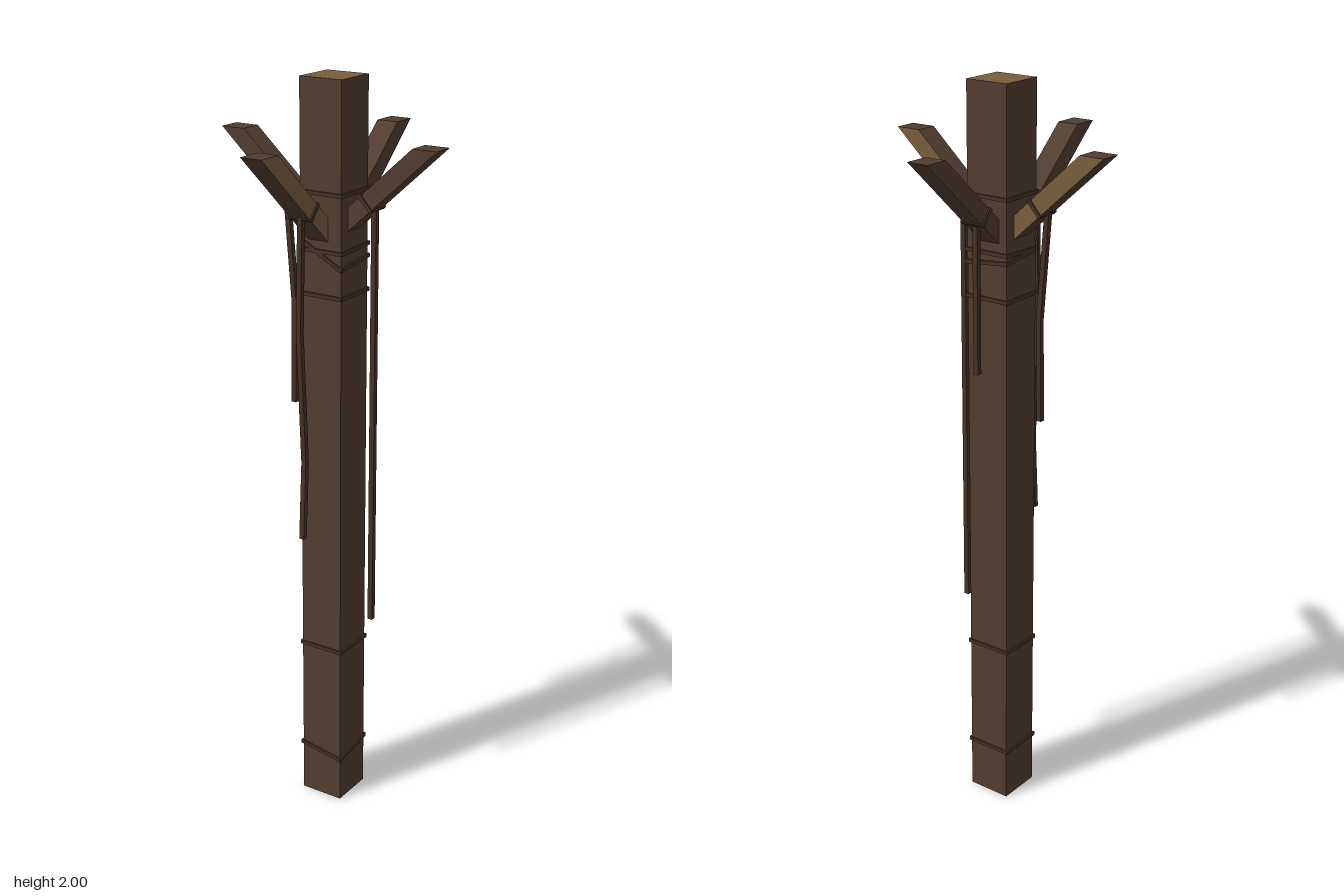
import * as THREE from 'three';

const mat = (name, color) => {
  const m = new THREE.MeshStandardMaterial({ color });
  m.name = name;
  return m;
};

export function createModel() {
  const bark = mat('dark wood', 0x523d2f);
  const cut = mat('light wood', 0x7a5d3d);
  const cord = mat('rope', 0x443127);
  const model = new THREE.Group();
  const add = (name, geo, material, parent = model) => {
    const mesh = new THREE.Mesh(geo, material);
    mesh.name = name;
    parent.add(mesh);
    return mesh;
  };

  // Square bar between two points
  const bar = (name, a, b, size, parent) => {
    const from = new THREE.Vector3(...a), to = new THREE.Vector3(...b);
    const geo = new THREE.BoxGeometry(size, size, from.distanceTo(to) + size * 0.8);
    const mesh = add(name, geo, cord, parent);
    mesh.position.copy(from).lerp(to, 0.5);
    mesh.lookAt(to);
  };

  // Post with a pale sawn top
  const cx = 0.006, cz = -0.005, half = 0.061;
  add('post', new THREE.BoxGeometry(half * 2, 2, half * 2), [bark, bark, cut, bark, bark, bark])
    .position.set(cx, 1, cz);

  // Rope turns round the post: heights at successive corners from front right
  const corners = [[-1, 1], [1, 1], [1, -1], [-1, -1]];
  const turns = [
    [1.72, 1.72, 1.72, 1.72, 1.72],
    [1.575, 1.575, 1.58, 1.58, 1.575],
    [1.6, 1.535, 1.548, 1.56, 1.575],
    [1.46, 1.46, 1.46, 1.46, 1.46],
    [0.465, 0.465, 0.465, 0.465, 0.465],
    [0.148, 0.128, 0.148, 0.148, 0.148],
  ];
  for (const heights of turns) {
    const wrap = new THREE.Group();
    wrap.name = 'postRope';
    model.add(wrap);
    const at = (i) => [cx + half * corners[i % 4][0], heights[i], cz + half * corners[i % 4][1]];
    for (let i = 0; i < 4; i++) bar('ropeTurn', at(i), at(i + 1), 0.01, wrap);
  }

  // Slanted braces with level tops, each bound with a band of rope
  const slope = 0.9, top = 1.85, foot = 1.6;
  const makeBrace = (name, angle, reach, x, z, sides) => {
    const brace = new THREE.Group();
    brace.name = name;
    brace.position.set(x, 0, z);
    brace.rotation.y = angle;
    model.add(brace);
    const geo = new THREE.BoxGeometry(0.068, top - foot, 0.06);
    geo.translate(0, (top + foot) / 2, 0);
    const p = geo.attributes.position;
    for (let i = 0; i < p.count; i++)
      p.setX(i, p.getX(i) + reach - 0.034 - (top - p.getY(i)) / slope);
    geo.computeVertexNormals();
    add('braceBeam', geo, [bark, bark, bark, bark, ...sides], brace);
    const band = add('braceRope', new THREE.BoxGeometry(0.01, 0.052, 0.068), cord, brace);
    const r = 0.117;
    band.position.set(r, top - (reach - 0.034 - r) * slope, 0);
    band.rotation.z = Math.atan(slope);
  };
  makeBrace('leftBrace', 0, 0.315, 0, -0.005, [bark, cut]);
  makeBrace('rightBrace', Math.PI, 0.315, 0, -0.005, [cut, bark]);
  makeBrace('frontBrace', -Math.PI / 2, 0.332, -0.002, 0, [bark, cut]);
  makeBrace('backBrace', Math.PI / 2, 0.335, -0.002, 0, [bark, bark]);

  // Loose rope ends hanging from the braces
  const hanging = {
    leftRope: [[0.13, 1.68, 0], [0.13, 0.57, 0]],
    rightRope: [[-0.133, 1.69, 0], [-0.11, 1.41, 0], [-0.114, 1.145, 0]],
    frontRope: [[0, 1.67, 0.132], [0, 1.38, 0.141], [0, 1.03, 0.121], [0, 0.825, 0.133]],
    backRope: [[0, 1.68, -0.115], [0, 1.28, -0.115]],
  };
  for (const [name, pts] of Object.entries(hanging)) {
    const rope = new THREE.Group();
    rope.name = name;
    model.add(rope);
    for (let i = 0; i + 1 < pts.length; i++) bar('ropeLength', pts[i], pts[i + 1], 0.014, rope);
  }
  return model;
}
